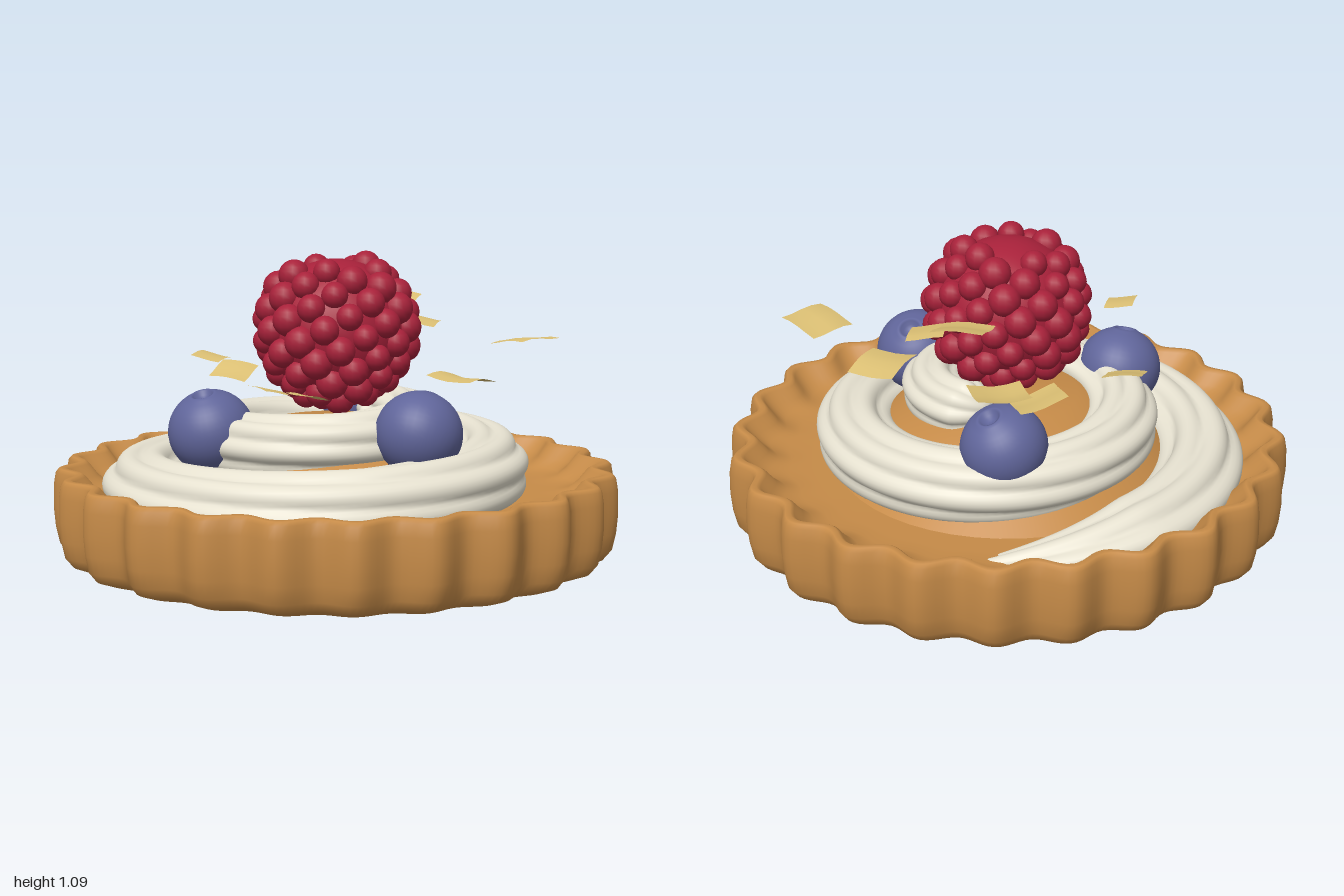
import * as THREE from 'three';

const mat = (name, color, extra = {}) => Object.assign(new THREE.MeshStandardMaterial({ color, ...extra }), { name });
const rad = THREE.MathUtils.degToRad;
const lerp = THREE.MathUtils.lerp;

// Smooth surface from rows of closed rings; point(i, j) returns [x, y, z]
function loft(rows, cols, point) {
  const pos = [], index = [];
  for (let i = 0; i < rows; i++) for (let j = 0; j < cols; j++) pos.push(...point(i, j));
  for (let i = 0; i < rows - 1; i++) for (let j = 0; j < cols; j++) {
    const k = (j + 1) % cols, a = i * cols + j, b = a + cols, c = i * cols + k, d = c + cols;
    index.push(a, b, c, b, d, c);
  }
  const g = new THREE.BufferGeometry();
  g.setAttribute('position', new THREE.Float32BufferAttribute(pos, 3));
  g.setIndex(index);
  g.computeVertexNormals();
  return g;
}

// Fluted shell: profile of [radius, height, flute depth]
function crustGeometry() {
  const profile = [
    [0.001, 0.005, 0], [0.5, 0.005, 0], [0.8, 0.008, 0.01], [0.88, 0.015, 0.016], [0.93, 0.035, 0.022],
    [0.955, 0.07, 0.026], [0.966, 0.13, 0.028], [0.972, 0.2, 0.028], [0.97, 0.28, 0.028], [0.962, 0.325, 0.028],
    [0.95, 0.338, 0.028], [0.93, 0.34, 0.028], [0.915, 0.33, 0.028], [0.88, 0.29, 0.025], [0.84, 0.262, 0.018],
    [0.78, 0.25, 0.008], [0.7, 0.247, 0], [0.001, 0.247, 0],
  ];
  const cols = 24 * 12;
  return loft(profile.length, cols, (i, j) => {
    const t = (j / cols) * Math.PI * 2, [r, y, depth] = profile[i];
    const R = r + depth * Math.cos(24 * t);
    return [R * Math.cos(t), y, R * Math.sin(t)];
  });
}

// Piped ridged rope, spiralling inward and upward from a pointed tail
function creamGeometry() {
  const rows = 240, cols = 64, sweep = 720;
  const tops = [0.34, 0.385, 0.43, 0.475, 0.505, 0.54, 0.575, 0.605, 0.62];
  return loft(rows, cols, (i, j) => {
    const u = i / (rows - 1), deg = u * sweep, t = rad(-33 - deg);
    const s = u * (tops.length - 1), k = Math.min(Math.floor(s), tops.length - 2);
    const full = lerp(0.165, 0.105, u);
    const taper = Math.min(1, Math.pow(deg / 50, 0.65), Math.sqrt((sweep - deg) / 25)) + 0.002;
    const R = 0.765 - 0.00078 * deg;
    const y = lerp(tops[k], tops[k + 1], s - k) - Math.min(full, 0.15);
    const phi = (j / cols) * Math.PI * 2;
    const w = full * taper * (0.87 + 0.15 * Math.abs(Math.cos(4 * phi + deg * 0.018)));
    const r = R + w * Math.cos(phi);
    return [r * Math.cos(t), y + w * 0.95 * Math.sin(phi), r * Math.sin(t)];
  });
}

// Round berry with a small rimmed dimple at the crown
function blueberryGeometry() {
  const pts = [];
  for (let i = 0; i <= 20; i++) {
    const a = lerp(-Math.PI / 2, rad(70), i / 20);
    pts.push(new THREE.Vector2(Math.max(0.0001, 0.15 * Math.cos(a)), 0.145 * Math.sin(a)));
  }
  for (const [x, y] of [[0.042, 0.142], [0.034, 0.139], [0.027, 0.125], [0.012, 0.118], [0.0001, 0.117]]) pts.push(new THREE.Vector2(x, y));
  return new THREE.LatheGeometry(pts, 36);
}

// Square leaf, gently rippled
function flakeGeometry(size, seed) {
  const g = new THREE.PlaneGeometry(size, size, 4, 4).rotateX(-Math.PI / 2);
  const p = g.attributes.position;
  for (let i = 0; i < p.count; i++) {
    p.setY(i, 0.008 * Math.sin(p.getX(i) * 25 + seed) + 0.007 * Math.cos(p.getZ(i) * 22 + seed * 2));
  }
  g.computeVertexNormals();
  return g;
}

export function createModel() {
  const root = new THREE.Group();
  const pastry = mat('pastry', 0xc68b48);
  const creamMat = mat('cream', 0xe6e1d0);
  const red = mat('raspberry red', 0xa8213a);
  const blue = mat('blueberry', 0x60659a);
  const gold = mat('gold leaf', 0xdcc074, { side: THREE.DoubleSide });
  const add = (parent, name, geo, material, p = [0, 0, 0]) => {
    const m = new THREE.Mesh(geo, material);
    m.name = name;
    m.position.set(...p);
    parent.add(m);
    return m;
  };

  add(root, 'crust', crustGeometry(), pastry);
  // Low mound carrying the cream
  const mound = [[0.62, 0.247], [0.52, 0.33], [0.4, 0.42], [0.25, 0.49], [0.0001, 0.5]];
  add(root, 'filling', new THREE.LatheGeometry(mound.map(([x, y]) => new THREE.Vector2(x, y)), 48), pastry);
  add(root, 'creamSwirl', creamGeometry(), creamMat);

  // Raspberry: core covered with drupelets along a golden-angle spiral
  const raspberry = new THREE.Group();
  raspberry.name = 'raspberry';
  raspberry.position.set(0, 0.825, 0);
  root.add(raspberry);
  add(raspberry, 'core', new THREE.SphereGeometry(0.255, 32, 24), red).scale.y = 0.96;
  const drupelet = new THREE.SphereGeometry(1, 14, 10);
  const count = 84;
  for (let i = 0; i < count; i++) {
    const h = lerp(0.86, -0.97, i / (count - 1)), r = Math.sqrt(1 - h * h), t = i * 2.39996;
    const d = add(raspberry, 'drupelet', drupelet, red, [0.25 * r * Math.cos(t), 0.25 * h, 0.25 * r * Math.sin(t)]);
    d.scale.setScalar(0.052 + 0.005 * Math.sin(i * 5.3));
  }

  // Blueberries: position, then tilt about x and z
  const berry = blueberryGeometry();
  for (const [p, rx, rz] of [
    [[0.035, 0.51, 0.45], -0.3, -0.5],
    [[-0.445, 0.485, -0.115], 0.1, 0.3],
    [[0.31, 0.505, -0.32], 0.05, -0.45],
  ]) add(root, 'blueberry', berry, blue, p).rotation.set(rx, 0, rz);

  // Gold flakes: x, y, z, size, turn, tilt x, tilt z
  [
    [-0.18, 0.64, -0.4, 0.14, 0.65, 0.15, 0.1],
    [-0.44, 0.745, -0.12, 0.105, 0.6, 0.1, -0.1],
    [-0.27, 0.635, 0.23, 0.11, 0.15, 0.1, -0.2],
    [-0.3, 0.63, 0.03, 0.11, 0.1, 0.1, -0.1],
    [0.24, 0.69, -0.41, 0.17, -0.45, 0.1, -0.15],
    [0.44, 0.79, -0.44, 0.18, -0.5, 0.2, 0.1],
    [0.34, 0.89, -0.15, 0.18, 0.6, 0.1, 0.12],
    [0.36, 0.83, 0.01, 0.13, 0.7, 0.1, -0.1],
    [0.38, 0.645, 0.23, 0.18, 0.35, 0.1, -0.12],
    [0.52, 0.79, 0.41, 0.175, 0.03, -0.08, 0.08],
  ].forEach(([x, y, z, size, turn, tx, tz], i) => {
    add(root, 'goldFlake', flakeGeometry(size, i), gold, [x, y, z]).rotation.set(tx, turn, tz);
  });

  return root;
}
